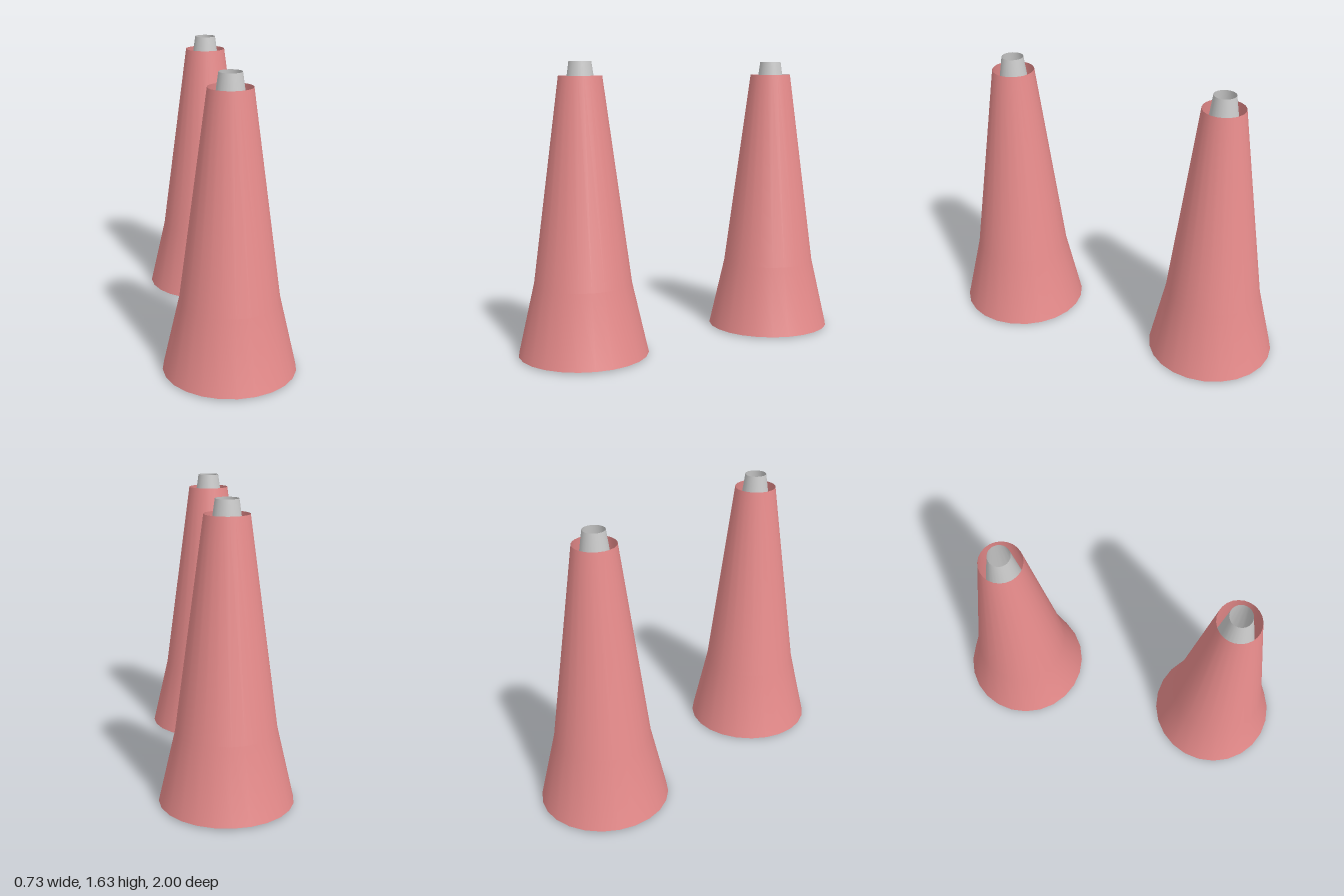
import * as THREE from 'three';

const SIDES = 24;

// Open, thin-walled shell turned from [radius, height] pairs
function shell(name, profile, color) {
  const points = profile.map(([r, y]) => new THREE.Vector2(r, y));
  const material = new THREE.MeshStandardMaterial({ color, side: THREE.DoubleSide });
  const mesh = new THREE.Mesh(new THREE.LatheGeometry(points, SIDES), material);
  mesh.name = name;
  return mesh;
}

function createCone(name, z) {
  const cone = new THREE.Group();
  cone.name = name;
  // Flared outer sleeve, open at both ends
  cone.add(shell('outerSleeve', [[0.365, 0.008], [0.273, 0.41], [0.12, 1.553]], 0xe88c8c));
  // Slim tapered tube inside, poking out at the top
  cone.add(shell('innerTube', [[0.293, 0], [0.062, 1.63]], 0xcccccc));
  cone.position.z = z;
  return cone;
}

export function createModel() {
  const model = new THREE.Group();
  model.name = 'conePair';
  model.add(createCone('frontCone', 0.635), createCone('backCone', -0.635));
  return model;
}
